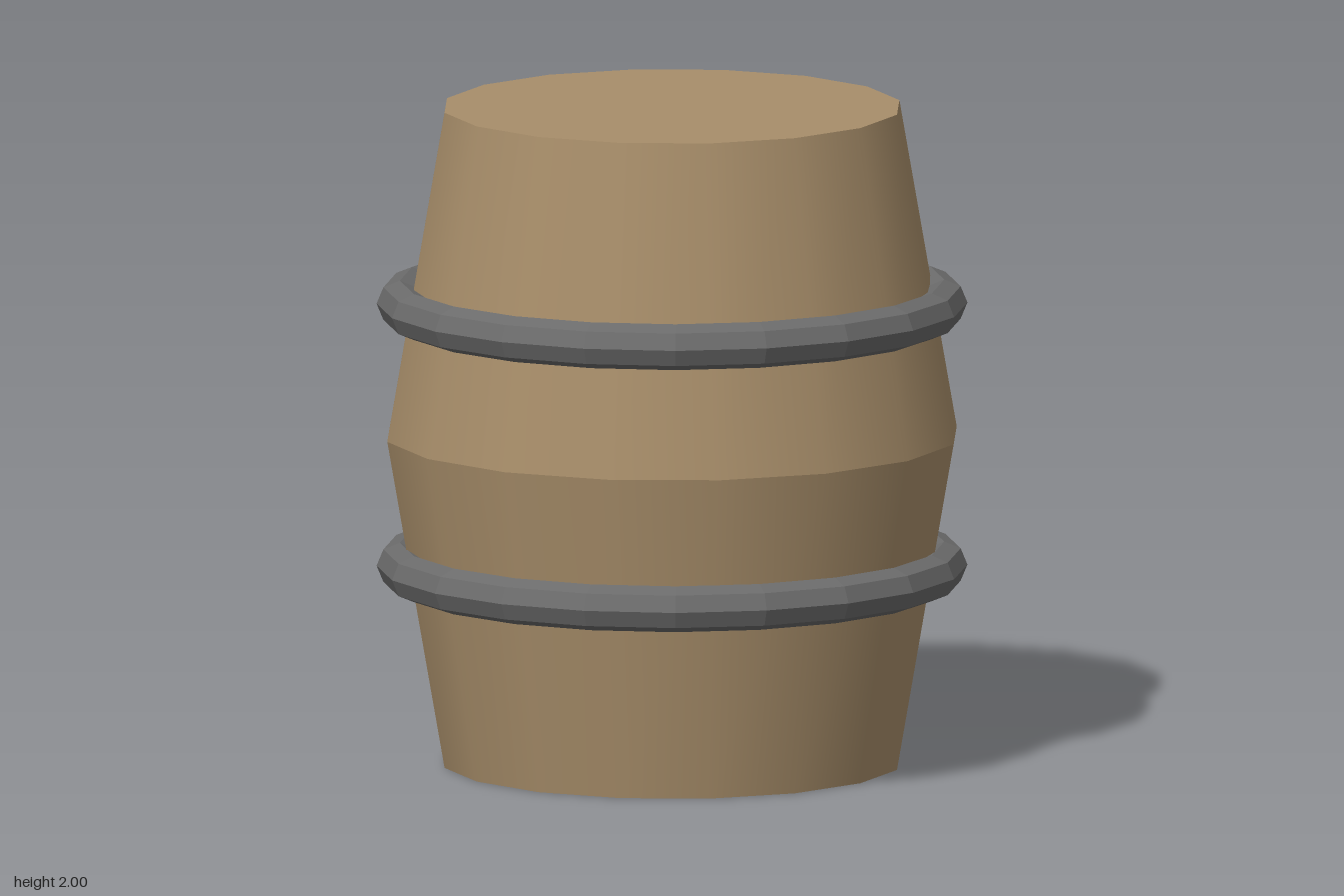
import * as THREE from 'three';

const SIDES = 16, END_R = 0.695, BELLY_R = 0.87;

export function createModel() {
  const barrel = new THREE.Group();
  barrel.name = 'barrel';

  const wood = new THREE.MeshStandardMaterial({ color: 0xa88e6a });
  const iron = new THREE.MeshStandardMaterial({ color: 0x6b6b6b, flatShading: true });

  const add = (name, geometry, material, y) => {
    const mesh = new THREE.Mesh(geometry, material);
    mesh.name = name;
    mesh.position.y = y;
    barrel.add(mesh);
    return mesh;
  };

  // Two tapered halves meeting in a crease at the belly
  add('upperStaves', new THREE.CylinderGeometry(END_R, BELLY_R, 1, SIDES, 1, true), wood, 1.5);
  add('lowerStaves', new THREE.CylinderGeometry(BELLY_R, END_R, 1, SIDES, 1, true), wood, 0.5);

  // Flat ends
  add('lid', new THREE.CircleGeometry(END_R, SIDES).rotateX(-Math.PI / 2), wood, 2);
  add('bottom', new THREE.CircleGeometry(END_R, SIDES).rotateX(Math.PI / 2), wood, 0);

  // Faceted hoops
  const hoop = new THREE.TorusGeometry(0.82, 0.07, 8, 20).rotateX(Math.PI / 2);
  add('upperHoop', hoop, iron, 1.4);
  add('lowerHoop', hoop, iron, 0.6);

  return barrel;
}
